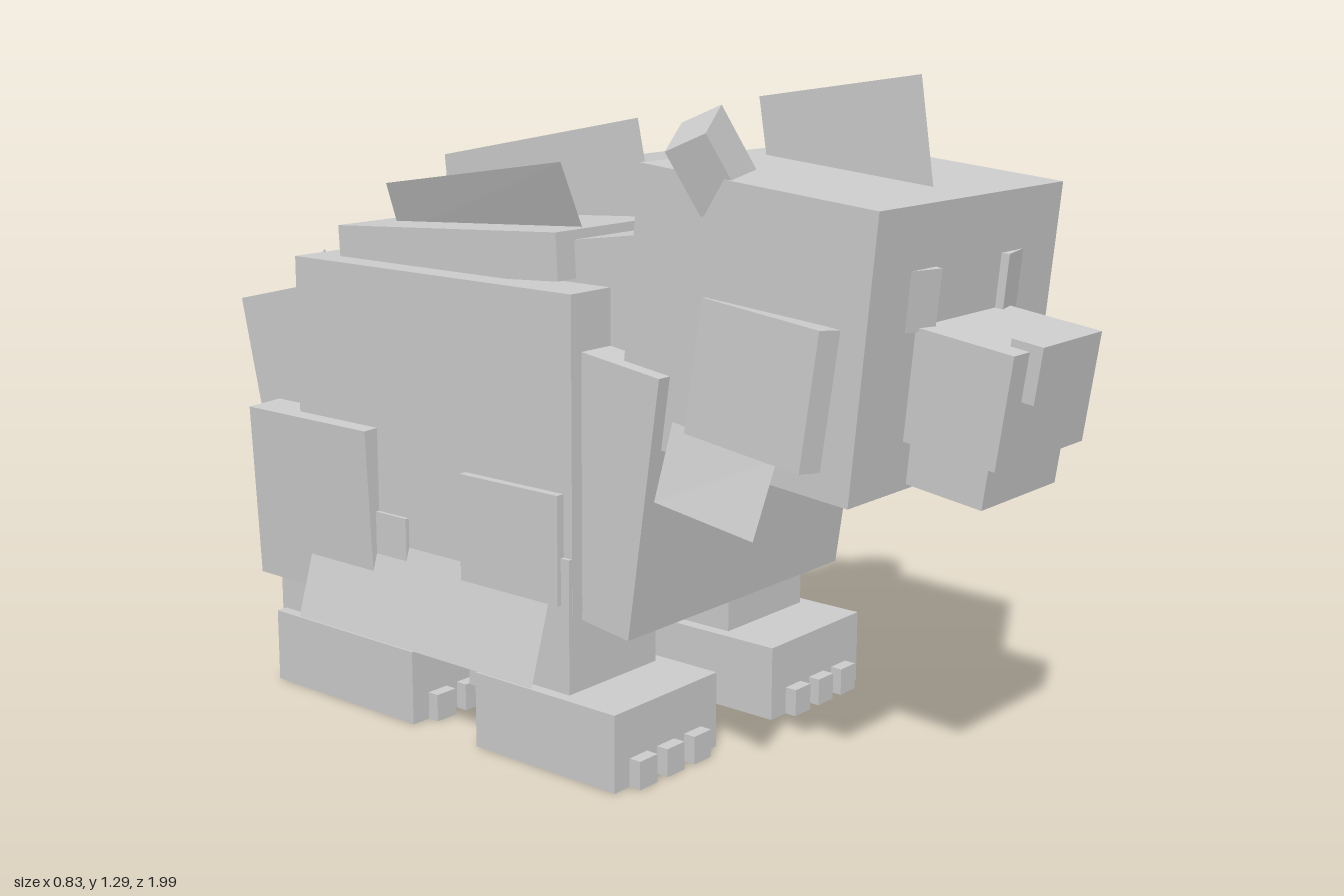
import * as THREE from 'three';

export function createModel() {
  const model = new THREE.Group();
  const grey = new THREE.MeshStandardMaterial({ color: 0xcccccc, side: THREE.DoubleSide });
  grey.name = 'plain grey';

  const add = (name, geometry) => {
    const mesh = new THREE.Mesh(geometry, grey);
    mesh.name = name;
    model.add(mesh);
    return mesh;
  };
  // Box given by size, centre and rotation
  const box = (name, size, pos, rot = [0, 0, 0]) => {
    const mesh = add(name, new THREE.BoxGeometry(...size));
    mesh.position.set(...pos);
    mesh.rotation.set(...rot);
  };
  // Thin fur sheet given by four corners in order
  const sheet = (name, a, b, c, d) => {
    const g = new THREE.BufferGeometry();
    g.setAttribute('position', new THREE.Float32BufferAttribute([a, b, c, a, c, d].flat(), 3));
    g.computeVertexNormals();
    add(name, g);
  };

  // Torso
  box('body', [0.715, 0.6, 0.745], [0, 0.6, -0.172]);
  box('belly', [0.5, 0.12, 0.7], [0, 0.295, -0.17]);
  box('chest', [0.66, 0.5, 0.3], [0, 0.54, 0.198], [0.14, 0, 0]);
  box('rump', [0.6, 0.5, 0.4], [0, 0.583, -0.538], [-0.23, 0, 0]);
  box('backPad', [0.6, 0.09, 0.59], [0, 0.935, -0.18], [-0.06, 0, 0]);
  box('neck', [0.5, 0.38, 0.5], [0, 0.8, 0.2], [-0.14, 0, 0]);

  // Head
  box('head', [0.6, 0.5, 0.5], [0, 0.865, 0.535], [0.094, 0, 0]);
  box('snout', [0.3, 0.2, 0.3], [0, 0.777, 0.812], [0.14, 0, 0]);
  box('jaw', [0.25, 0.1, 0.3], [0, 0.651, 0.769], [0.14, 0, 0]);
  box('nose', [0.2, 0.1, 0.06], [0, 0.82, 0.963], [0.14, 0, 0]);
  sheet('headTuft', [0, 1.29, 0.69], [0, 1.238, 0.345], [0, 1.06, 0.375], [0, 1.08, 0.723]);

  // Tail
  box('tail', [0.14, 0.144, 0.25], [0, 0.669, -0.756], [-0.58, 0, 0]);
  sheet('tailTuft', [0, 0.847, -0.865], [0, 0.7, -0.995], [0, 0.54, -0.82], [0, 0.69, -0.69]);

  // Middle back fin
  sheet('middleFin', [0, 1.185, 0.055], [0, 1.083, -0.475], [0, 0.95, -0.46], [0, 0.98, 0.1]);

  for (const s of [1, -1]) {
    const side = s > 0 ? 'left' : 'right';

    // Ear, cheek and eye
    box(side + 'Ear', [0.14, 0.13, 0.08], [s * 0.257, 1.145, 0.435], [-0.45, -s * 0.3, -s * 0.45]);
    box(side + 'Cheek', [0.05, 0.24, 0.28], [s * 0.318, 0.785, 0.59], [0.07, s * 0.16, s * 0.09]);
    sheet(side + 'CheekFur', [s * 0.355, 0.67, 0.655], [s * 0.315, 0.69, 0.4],
      [s * 0.365, 0.555, 0.4], [s * 0.412, 0.54, 0.65]);
    box(side + 'Eye', [0.1, 0.105, 0.02], [s * 0.158, 0.928, 0.787], [0.094, s * 0.2, 0]);

    // Leaning back fin and hanging side fur
    sheet(side + 'Fin', [s * 0.25, 1.12, 0.08], [s * 0.225, 1.045, -0.415],
      [s * 0.185, 0.94, -0.42], [s * 0.185, 0.96, 0.09]);
    sheet(side + 'SideFur', [s * 0.358, 0.35, 0.15], [s * 0.358, 0.35, -0.5],
      [s * 0.415, 0.165, -0.5], [s * 0.415, 0.165, 0.15]);
    sheet(side + 'RumpFur', [s * 0.25, 0.48, -0.63], [s * 0.25, 0.445, -0.8],
      [s * 0.25, 0.205, -0.75], [s * 0.25, 0.24, -0.59]);

    // Shoulder and thigh pads
    box(side + 'Shoulder', [0.06, 0.21, 0.25], [s * 0.345, 0.425, 0.055]);
    box(side + 'Thigh', [0.08, 0.36, 0.35], [s * 0.342, 0.4, -0.49], [0, 0, -s * 0.05]);

    // Legs, feet and toes
    for (const [pair, z, depth, footZ, footDepth] of [
      ['Front', 0.07, 0.26, 0.155, 0.35],
      ['Hind', -0.42, 0.38, -0.397, 0.405],
    ]) {
      box(side + pair + 'Leg', [0.25, 0.3, depth], [s * 0.241, 0.26, z]);
      box(side + pair + 'Foot', [0.3, 0.15, footDepth], [s * 0.24, 0.075, footZ]);
      for (const x of [0.163, 0.243, 0.322]) {
        box(side + pair + 'Toe', [0.05, 0.055, 0.05], [s * x, 0.0275, footZ + footDepth / 2]);
      }
    }
  }
  return model;
}
